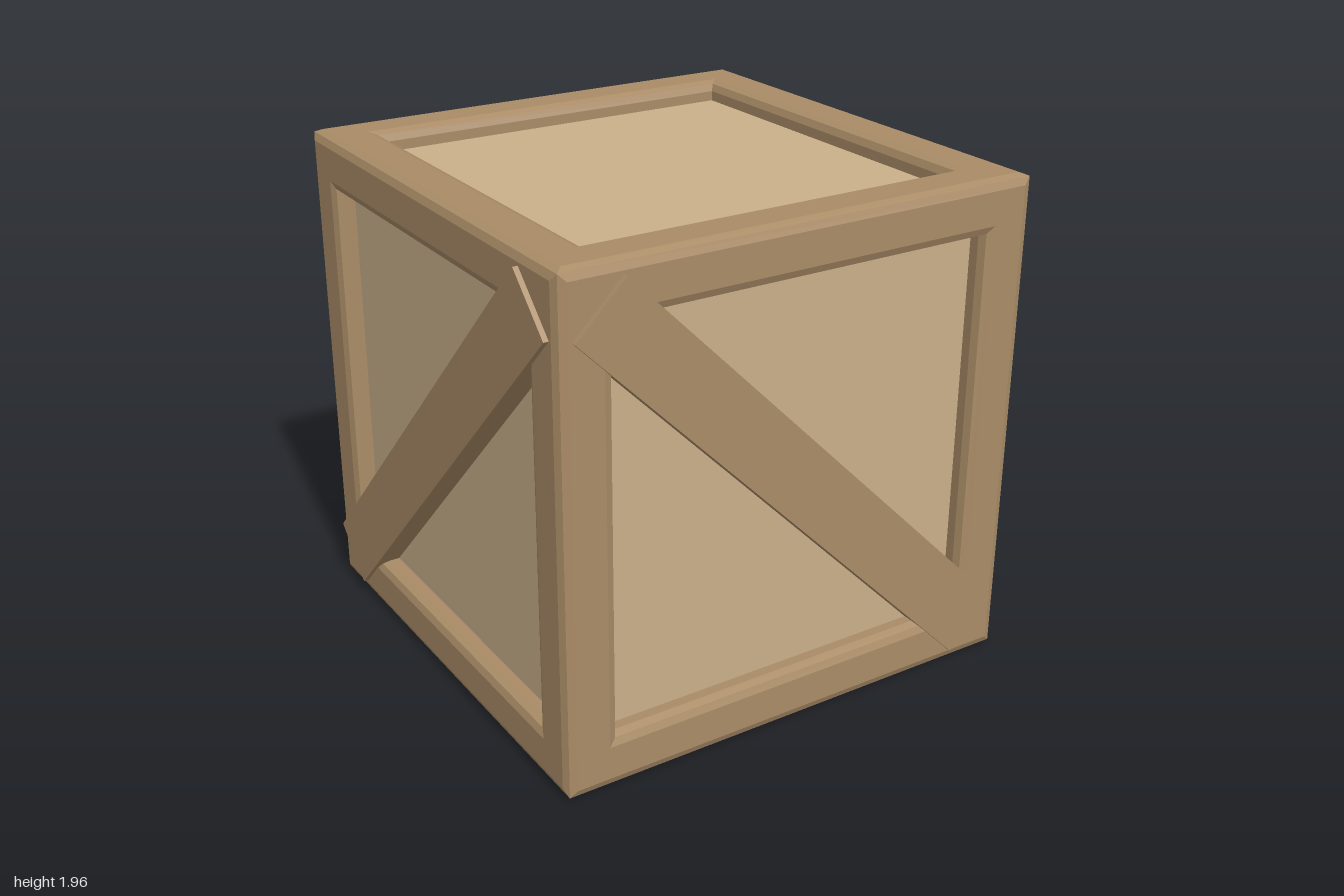
import * as THREE from 'three';

const HALF = 0.98;    // half size of the crate body
const PANEL = 0.9;    // distance of the recessed panels from the centre

export function createModel() {
  const frameWood = new THREE.MeshStandardMaterial({ color: 0xaa8c67 });
  frameWood.name = 'frame wood';
  const panelWood = new THREE.MeshStandardMaterial({ color: 0xcab08a });
  panelWood.name = 'panel wood';

  const crate = new THREE.Group();
  crate.name = 'crate';
  const add = (name, geometry, material, parent) => {
    const mesh = new THREE.Mesh(geometry, material);
    mesh.name = name;
    parent.add(mesh);
    return mesh;
  };

  // Inner box whose six sides are the recessed panels
  add('panels', new THREE.BoxGeometry(2 * PANEL, 2 * PANEL, 2 * PANEL), panelWood, crate).position.y = HALF;

  // Mitred square frame: bevelled profile turned in four steps, facing +z
  const profile = [
    [0.968, 0.968], [0.94, 0.98], [0.81, 0.98], [0.782, 0.968], [0.77, 0.94], [0.77, 0.89],
  ].map(([r, h]) => new THREE.Vector2(r * Math.SQRT2, h));
  const frameGeometry = new THREE.LatheGeometry(profile, 4, Math.PI / 4).toNonIndexed();
  frameGeometry.computeVertexNormals();
  frameGeometry.rotateX(Math.PI / 2);

  // Diagonal brace, standing slightly proud of the frame
  const braceGeometry = new THREE.BoxGeometry(0.27, 2.355, 0.12);

  // Each side: name, turn about x, turn about y, brace lean (0 = none)
  const sides = [
    ['front', 0, 0, 1],
    ['left', 0, Math.PI / 2, 1],
    ['back', 0, Math.PI, -1],
    ['right', 0, -Math.PI / 2, -1],
    ['top', -Math.PI / 2, 0, 0],
    ['bottom', Math.PI / 2, 0, 0],
  ];
  for (const [name, turnX, turnY, lean] of sides) {
    const side = new THREE.Group();
    side.name = name + 'Side';
    side.position.y = HALF;
    side.rotation.set(turnX, turnY, 0);
    add(name + 'Frame', frameGeometry, frameWood, side);
    if (lean) {
      const brace = add(name + 'Brace', braceGeometry, frameWood, side);
      brace.position.z = 0.94;
      brace.rotation.z = lean * Math.PI / 4;
    }
    crate.add(side);
  }
  return crate;
}
